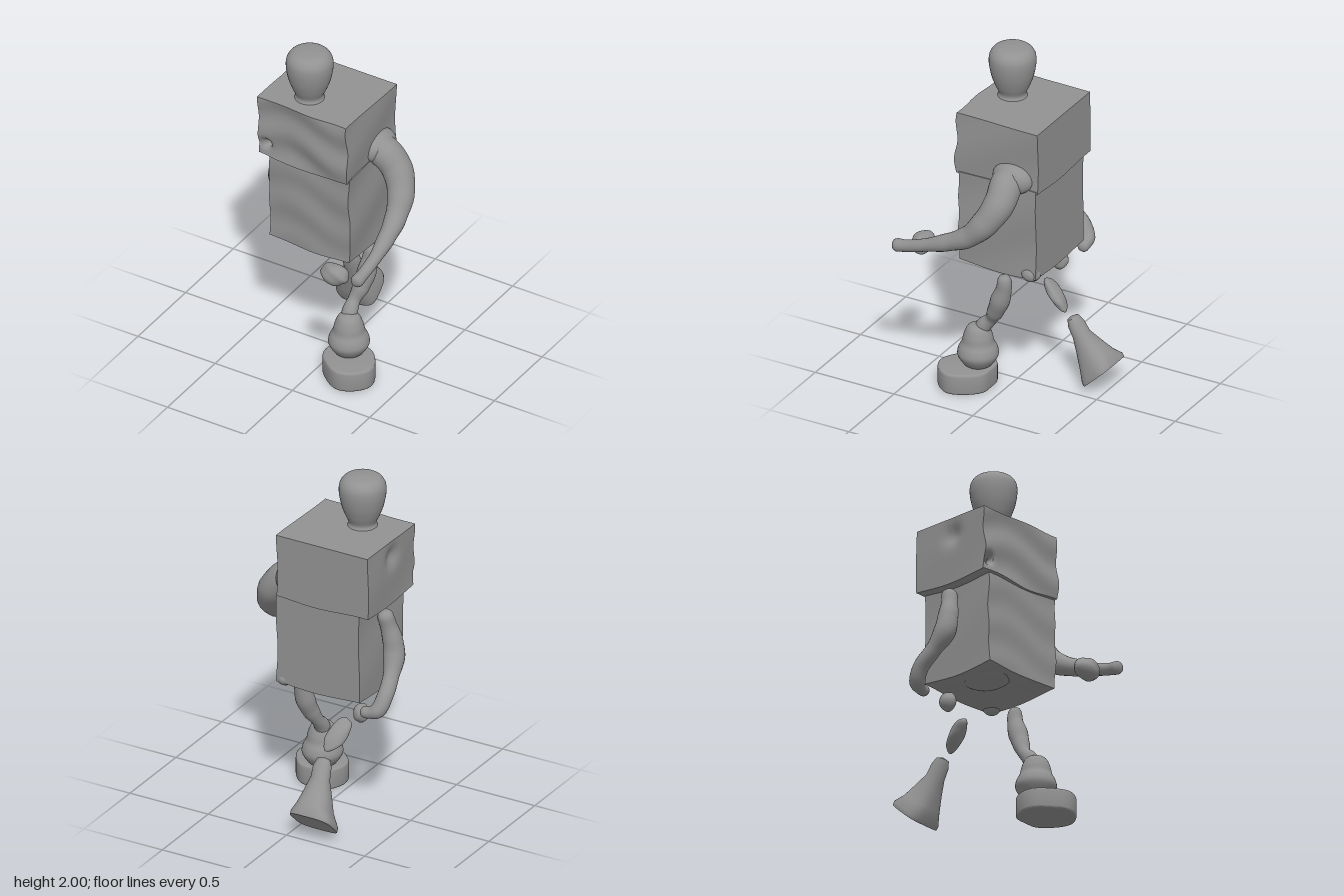
import * as THREE from 'three';
import { mergeVertices, toCreasedNormals } from 'three/addons/utils/BufferGeometryUtils.js';

const material = new THREE.MeshStandardMaterial({ color: 0x929292 });
const V = (x, y, z) => new THREE.Vector3(x, y, z);

// Moves every vertex by a rule, then rebuilds the normals
function warp(geo, rule, crease = 0) {
  const p = geo.attributes.position, v = V();
  for (let i = 0; i < p.count; i++) {
    v.fromBufferAttribute(p, i);
    rule(v, i);
    p.setXYZ(i, v.x, v.y, v.z);
  }
  geo.deleteAttribute('uv');
  geo.deleteAttribute('normal');
  geo = mergeVertices(geo, 1e-5);
  geo.computeVertexNormals();
  return crease ? toCreasedNormals(geo, crease) : geo;
}

// Round-ended limb through stations [x, y, z, radius]
function limb(stations, rings = 48, sides = 20) {
  const curve = new THREE.CatmullRomCurve3(stations.map(s => V(s[0], s[1], s[2])), false, 'centripetal');
  const length = curve.getLength(), last = stations.length - 1;
  const geo = new THREE.TubeGeometry(curve, rings, 1, sides);
  const ringData = [];
  for (let i = 0; i <= rings; i++) {
    const u = i / rings, t = curve.getUtoTmapping(u) * last;
    const k = Math.min(Math.floor(t), last - 1);
    let r = THREE.MathUtils.lerp(stations[k][3], stations[k + 1][3], THREE.MathUtils.smoothstep(t - k, 0, 1));
    const d = Math.min(u, 1 - u) * length;
    if (d < r) r *= Math.sqrt(Math.max(0, 1 - (1 - d / r) ** 2));
    ringData.push([curve.getPointAt(u), r]);
  }
  return warp(geo, (v, i) => {
    const [c, r] = ringData[Math.floor(i / (sides + 1))];
    v.sub(c).multiplyScalar(r).add(c);
  });
}

// Uneven rounded lump
function lump(x, y, z, rx, ry, rz, rough = 0.06) {
  return warp(new THREE.SphereGeometry(1, 28, 20), v => {
    const k = 1 + rough * Math.sin(4 * v.x + 2 * v.y) * Math.cos(3 * v.z - 3 * v.y);
    v.set(x + v.x * rx * k, y + v.y * ry * k, z + v.z * rz * k);
  });
}

function turned(x, z, profile) {
  const curve = new THREE.SplineCurve(profile.map(p => new THREE.Vector2(p[0], p[1])));
  return new THREE.LatheGeometry(curve.getPoints(36).map(p => p.set(Math.max(0, p.x), p.y)), 36).translate(x, 0, z);
}

// Block with rippled front, slightly wavy sides and pushed-in dents
function block(x0, x1, y0, y1, z0, z1, ripple, dents = []) {
  const w = x1 - x0, h = y1 - y0, d = z1 - z0;
  const geo = new THREE.BoxGeometry(w, h, d, 36, 36, 30);
  geo.translate((x0 + x1) / 2, (y0 + y1) / 2, (z0 + z1) / 2);
  return warp(geo, v => {
    const front = v.z > z1 - 1e-4, left = v.x > x1 - 1e-4, right = v.x < x0 + 1e-4, bottom = v.y < y0 + 1e-4;
    const { x, y, z } = v, start = v.clone();
    if (front) v.z += ripple * (Math.sin(27 * y + 1.4 * Math.sin(9 * x)) + 0.5 * Math.sin(14 * x + 9 * y)) + 0.03 * (x - x0) - 0.01;
    if (left) v.x += 0.006 * Math.sin(13 * y + 7 * z);
    if (right) v.x += 0.004 * Math.sin(11 * y - 6 * z);
    if (bottom) v.y += 0.012 * Math.sin(11 * x + 2) * Math.cos(9 * z);
    for (const { at, push, size } of dents) v.addScaledVector(push, Math.exp(-start.distanceToSquared(at) / size ** 2));
  }, 0.8);
}

// Flared lower leg lofted through sections: centre, half width, half depth, tilt, roundness
function flaredLeg() {
  const sections = [
    [-0.115, 0.415, -0.28, 0.0, 0.0, 0.4, 1],
    [-0.115, 0.405, -0.285, 0.04, 0.03, 0.4, 1],
    [-0.115, 0.37, -0.305, 0.053, 0.045, 0.4, 1],
    [-0.12, 0.31, -0.335, 0.055, 0.05, 0.45, 1],
    [-0.13, 0.24, -0.38, 0.08, 0.075, 0.5, 0.9],
    [-0.138, 0.17, -0.42, 0.1, 0.1, 0.65, 0.75],
    [-0.15, 0.115, -0.45, 0.13, 0.115, 0.76, 0.6],
    [-0.15, 0.095, -0.462, 0.127, 0.112, 0.76, 0.55],
    [-0.15, 0.1, -0.46, 0.0, 0.0, 0.76, 0.55],
  ];
  const sides = 32, rows = sections.length - 1;
  return warp(new THREE.PlaneGeometry(1, 1, sides, rows), (v, i) => {
    const [x, y, z, a, b, tilt, round] = sections[Math.floor(i / (sides + 1))];
    const t = (i % (sides + 1)) % sides / sides * Math.PI * 2;
    const square = c => Math.sign(c) * Math.abs(c) ** round;
    const s = b * square(Math.cos(t));
    v.set(x + a * square(Math.sin(t)), y - s * Math.sin(tilt), z + s * Math.cos(tilt));
  }, 0.9);
}

// Flat thick foot with a softened rim
function blockFoot() {
  const outline = [[0.045, 0.17], [0.09, 0.09], [0.17, 0.08], [0.25, 0.09], [0.33, 0.19],
    [0.34, 0.26], [0.28, 0.335], [0.2, 0.36], [0.1, 0.3], [0.05, 0.24]];
  const curve = new THREE.CatmullRomCurve3(outline.map(p => V(p[0], -p[1], 0)), true);
  const shape = new THREE.Shape(curve.getPoints(48).slice(0, -1).map(p => new THREE.Vector2(p.x, p.y)));
  const geo = new THREE.ExtrudeGeometry(shape, { depth: 0.095, bevelThickness: 0.014, bevelSize: 0.012, bevelSegments: 3 });
  geo.rotateX(-Math.PI / 2).translate(0, 0.014, 0);
  return toCreasedNormals(geo, 0.8);
}

export function createModel() {
  const model = new THREE.Group();
  const add = (name, geo) => {
    const mesh = new THREE.Mesh(geo, material);
    mesh.name = name;
    model.add(mesh);
  };

  // Head and body
  add('head', turned(-0.13, 0.108, [[0.09, 1.68], [0.077, 1.71], [0.098, 1.76], [0.12, 1.825],
    [0.132, 1.9], [0.124, 1.955], [0.085, 1.99], [0, 2]]));
  add('upperTorso', block(-0.372, 0.21, 1.31, 1.69, -0.247, 0.266, 0.008, [
    { at: V(-0.33, 1.39, 0.27), push: V(0.03, 0, -0.06), size: 0.028 },
    { at: V(-0.372, 1.59, 0.02), push: V(0.03, 0, 0), size: 0.06 },
  ]));
  add('lowerTorso', block(-0.31, 0.216, 0.775, 1.33, -0.238, 0.247, 0.004));
  add('torsoDrip', lump(-0.12, 0.785, 0.05, 0.12, 0.032, 0.14));
  add('torsoBackCorner', lump(0.185, 0.795, -0.19, 0.05, 0.045, 0.055, 0.02));

  // Arms
  add('leftShoulder', lump(0.2, 1.375, -0.085, 0.085, 0.09, 0.125, 0.02));
  add('leftArm', limb([[0.14, 1.365, -0.07, 0.09], [0.24, 1.355, -0.07, 0.093], [0.325, 1.27, -0.07, 0.088],
    [0.385, 1.16, -0.015, 0.077], [0.41, 1.06, 0.08, 0.062], [0.425, 1.0, 0.2, 0.05],
    [0.435, 0.945, 0.35, 0.036], [0.432, 0.91, 0.46, 0.034], [0.43, 0.895, 0.55, 0.04]], 64));
  add('leftHand', lump(0.25, 0.845, 0.46, 0.085, 0.063, 0.058, 0.08));
  add('rightArm', limb([[-0.345, 1.275, -0.03, 0.045], [-0.36, 1.19, -0.01, 0.047], [-0.385, 1.09, 0.0, 0.057],
    [-0.4, 1.0, -0.01, 0.062], [-0.42, 0.9, -0.08, 0.045], [-0.43, 0.82, -0.16, 0.045],
    [-0.41, 0.75, -0.205, 0.045], [-0.36, 0.73, -0.22, 0.034], [-0.31, 0.73, -0.22, 0.036]], 64));

  // Left leg with ankle knob and foot
  add('leftLeg', limb([[0.19, 0.745, -0.02, 0.035], [0.185, 0.67, -0.02, 0.043], [0.178, 0.57, 0.01, 0.055],
    [0.165, 0.49, 0.045, 0.048], [0.145, 0.42, 0.085, 0.036], [0.145, 0.36, 0.135, 0.045], [0.15, 0.27, 0.16, 0.05]]));
  add('leftAnkle', turned(0.158, 0.162, [[0, 0.1], [0.065, 0.12], [0.095, 0.15], [0.115, 0.19],
    [0.108, 0.23], [0.09, 0.265], [0.08, 0.31], [0.055, 0.36], [0, 0.38]]));
  add('leftFoot', blockFoot());

  // Right leg in separate pieces
  add('rightHip', lump(-0.255, 0.655, -0.118, 0.043, 0.055, 0.05));
  add('rightThigh', lump(0, 0, 0, 0.056, 0.11, 0.035).rotateX(Math.PI / 4).rotateZ(0.35).translate(-0.13, 0.51, -0.165));
  add('rightShin', flaredLeg());
  return model;
}
